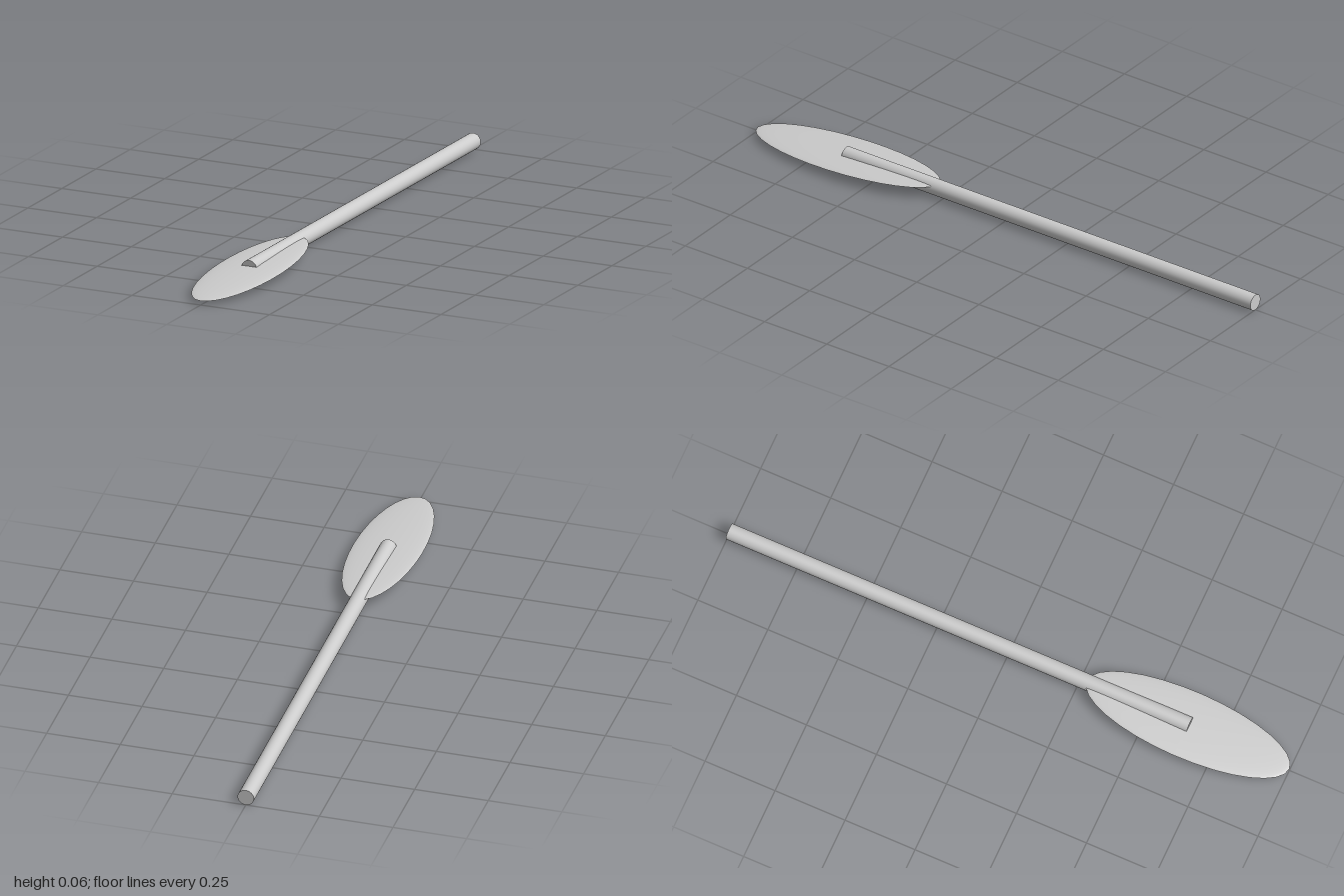
import * as THREE from 'three';

export function createModel() {
  const paddle = new THREE.Group();
  paddle.name = 'paddle';

  // Round shaft, rising very slightly toward the blade
  const radius = 0.0277, rear = -1, front = 0.645, rise = 0.0025;
  const shaftGeo = new THREE.CylinderGeometry(radius, radius, front - rear, 32);
  shaftGeo.rotateX(Math.PI / 2);
  shaftGeo.rotateX(-Math.atan2(rise, front - rear));
  shaftGeo.translate(0, radius + rise / 2, (front + rear) / 2);
  const shaft = new THREE.Mesh(shaftGeo, new THREE.MeshStandardMaterial({ color: 0xcccccc }));
  shaft.name = 'shaft';

  // Thin oval blade: a shallow dome on a rim that dips toward the tip
  const halfWidth = 0.116, halfLength = 0.362, dome = 0.01, dip = 0.014;
  const bladeGeo = new THREE.SphereGeometry(1, 32, 12, 0, Math.PI * 2, 0, Math.PI / 2);
  const pos = bladeGeo.attributes.position;
  for (let i = 0; i < pos.count; i++) {
    const x = pos.getX(i), y = pos.getY(i), z = pos.getZ(i);
    pos.setXYZ(i, x * halfWidth, 0.028 + y * dome - z * dip, 0.638 + z * halfLength);
  }
  bladeGeo.computeVertexNormals();
  const blade = new THREE.Mesh(
    bladeGeo,
    new THREE.MeshStandardMaterial({ color: 0xcccccc, side: THREE.DoubleSide })
  );
  blade.name = 'blade';

  paddle.add(shaft, blade);
  return paddle;
}
